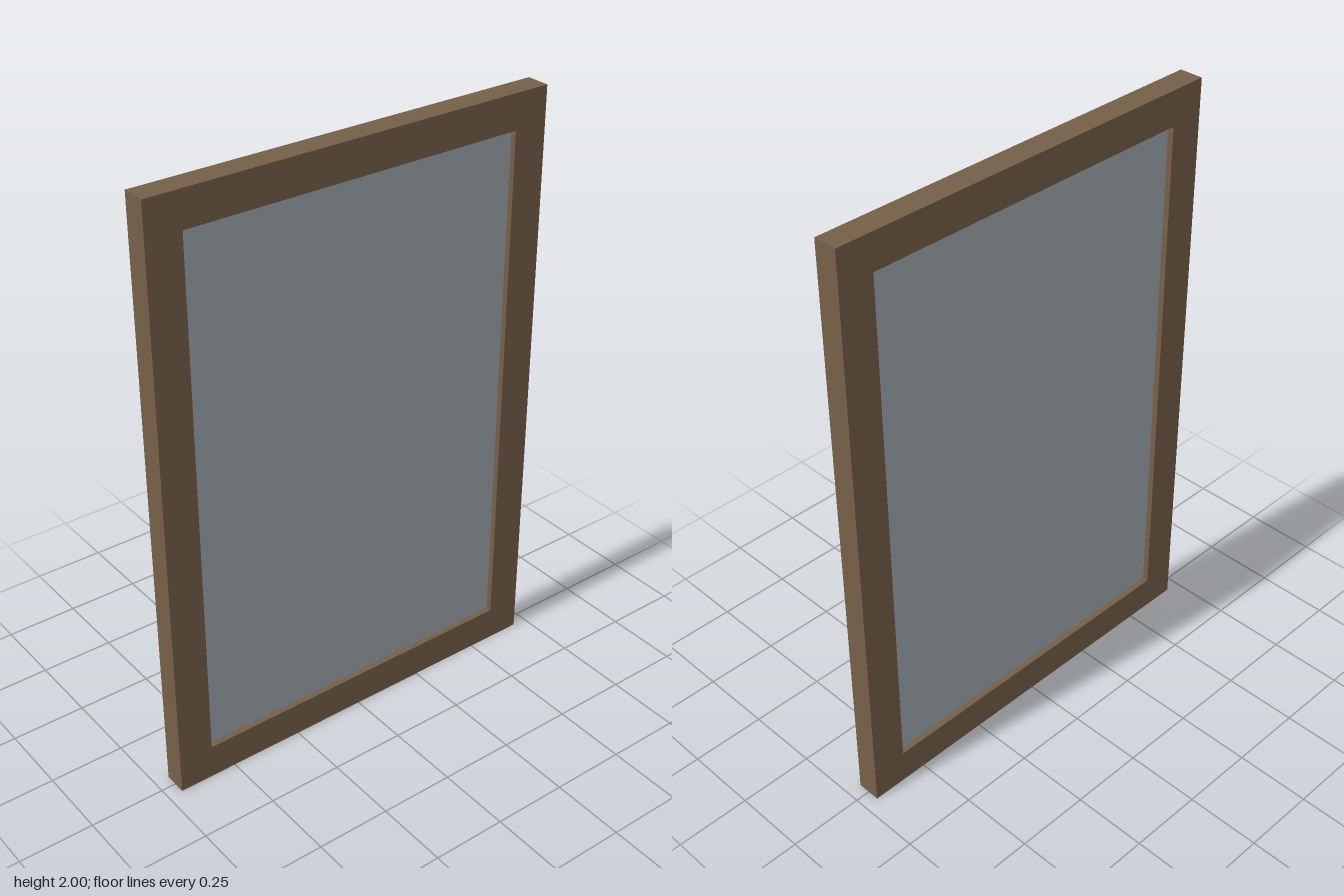
import * as THREE from 'three';

const WIDTH = 1.4, HEIGHT = 2, DEPTH = 0.08, BORDER = 0.117, PANE_DEPTH = 0.04;

// Corner points of an upright rectangle centred on x = 0 and y = HEIGHT / 2
function rectangle(width, height) {
  const x = width / 2, low = (HEIGHT - height) / 2, high = low + height;
  return [[-x, low], [x, low], [x, high], [-x, high]].map(([px, py]) => new THREE.Vector2(px, py));
}

export function createModel() {
  const model = new THREE.Group();
  model.name = 'framedPane';
  const innerWidth = WIDTH - 2 * BORDER, innerHeight = HEIGHT - 2 * BORDER;

  // Wooden surround with a rectangular opening
  const outline = new THREE.Shape(rectangle(WIDTH, HEIGHT));
  outline.holes.push(new THREE.Path(rectangle(innerWidth, innerHeight).reverse()));
  const frameGeometry = new THREE.ExtrudeGeometry(outline, { depth: DEPTH, bevelEnabled: false });
  frameGeometry.translate(0, 0, -DEPTH / 2);
  const frame = new THREE.Mesh(frameGeometry, new THREE.MeshStandardMaterial({ color: 0x755f49 }));
  frame.name = 'frame';
  model.add(frame);

  // Pane set back from both faces of the frame
  const pane = new THREE.Mesh(
    new THREE.BoxGeometry(innerWidth, innerHeight, PANE_DEPTH),
    new THREE.MeshStandardMaterial({ color: 0x9fa8ae })
  );
  pane.name = 'pane';
  pane.position.y = HEIGHT / 2;
  model.add(pane);

  return model;
}
